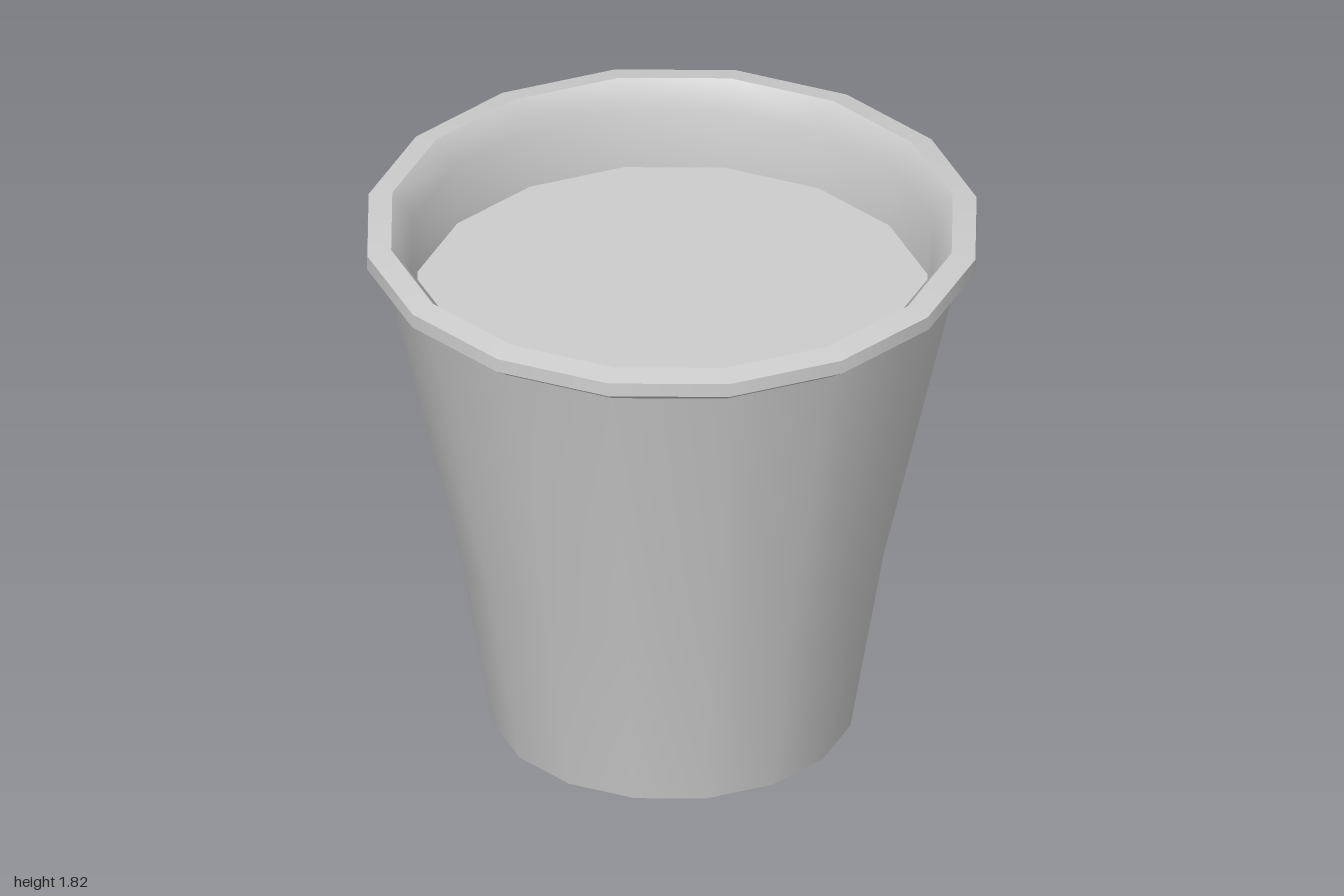
import * as THREE from 'three';

const SIDES = 16;

export function createModel() {
  const cup = new THREE.Group();
  cup.name = 'cup';

  const grey = new THREE.MeshStandardMaterial({ color: 0xcccccc });
  grey.name = 'light grey';

  // Each band is smooth in itself; separate bands keep the edges between them sharp.
  // Profiles run from the base centre, up the outside and down the inside.
  const bands = {
    baseDisc: [[0, 0.04], [0.555, 0.04]],
    footRing: [[0.555, 0.04], [0.587, 0]],
    outerWall: [[0.587, 0], [0.695, 0.65], [0.935, 1.71]],
    rimUnderside: [[0.935, 1.71], [1, 1.755]],
    rimEdge: [[1, 1.755], [0.998, 1.802]],
    rimTop: [[0.998, 1.802], [0.92, 1.817]],
    innerWall: [[0.92, 1.817], [0.855, 1.73], [0.837, 1.53]],
    fillSurface: [[0.837, 1.53], [0, 1.53]],
  };

  for (const [name, profile] of Object.entries(bands)) {
    const points = profile.map(([r, y]) => new THREE.Vector2(r, y));
    const mesh = new THREE.Mesh(new THREE.LatheGeometry(points, SIDES), grey);
    mesh.name = name;
    cup.add(mesh);
  }
  return cup;
}
